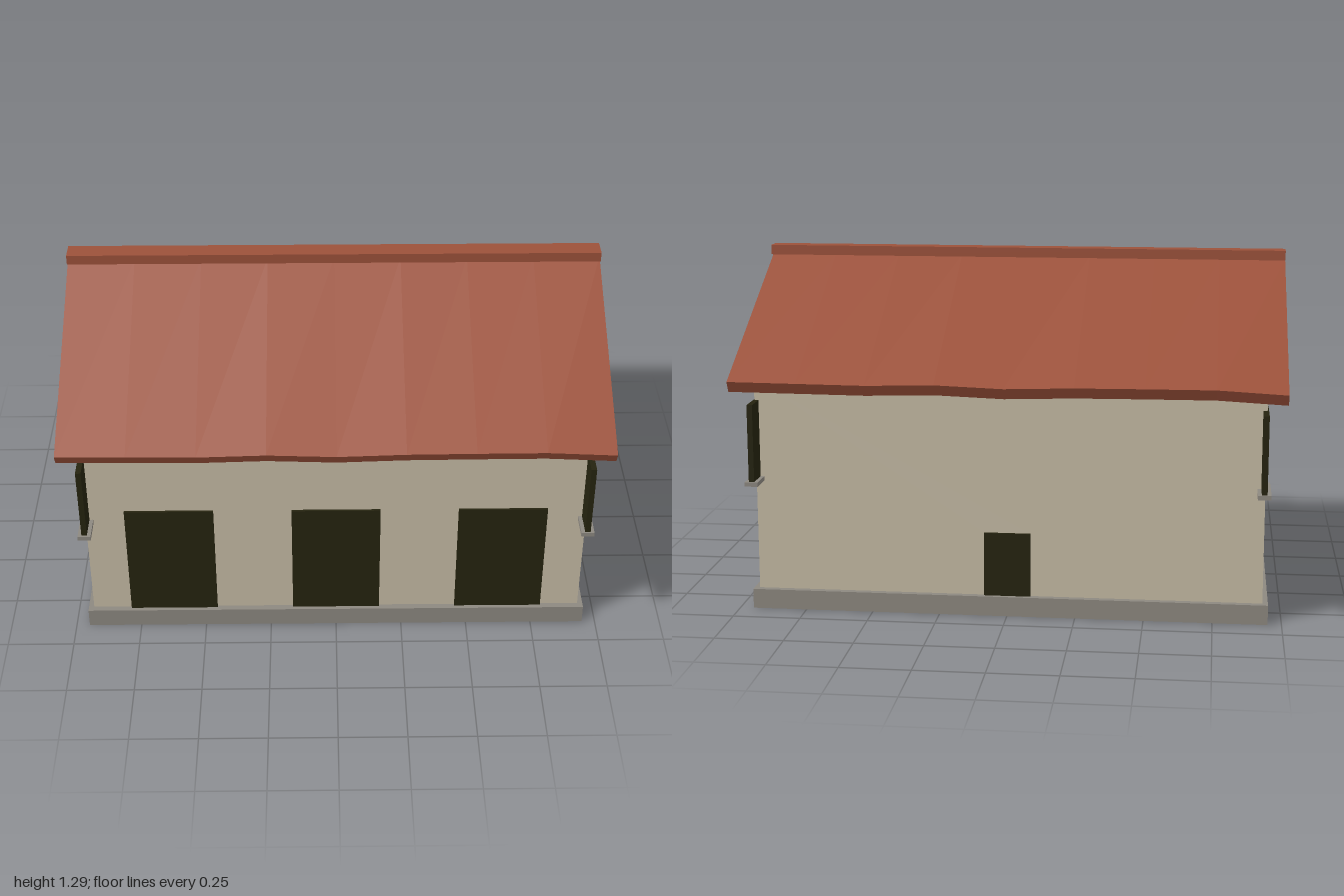
import * as THREE from 'three';

export function createModel() {
  const model = new THREE.Group();
  model.name = 'house';

  const material = (name, color, flatShading = false) => {
    const m = new THREE.MeshStandardMaterial({ color, flatShading });
    m.name = name;
    return m;
  };
  const plaster = material('plaster', 0xc6bba5);
  const stone = material('stone', 0x8d8880);
  const darkWood = material('dark wood', 0x25230f);
  const clay = material('clay tile', 0x9c513a, true);

  const add = (name, geometry, mat, x = 0, y = 0, z = 0, parent = model) => {
    const mesh = new THREE.Mesh(geometry, mat);
    mesh.name = name;
    mesh.position.set(x, y, z);
    parent.add(mesh);
    return mesh;
  };
  const box = (name, mat, w, h, d, x, y, z) =>
    add(name, new THREE.BoxGeometry(w, h, d), mat, x, y, z);

  const W = 0.93, D = 0.62, H = 0.87, T = 0.124, LIP = 0.02;

  // Long walls with door openings running down to the ground
  const longWall = (name, doors, z) => {
    const s = new THREE.Shape();
    s.moveTo(-W, 0);
    for (const { x, w, h } of doors) {
      s.lineTo(x - w / 2, 0);
      s.lineTo(x - w / 2, h);
      s.lineTo(x + w / 2, h);
      s.lineTo(x + w / 2, 0);
    }
    s.lineTo(W, 0);
    s.lineTo(W, H);
    s.lineTo(-W, H);
    const g = new THREE.ExtrudeGeometry(s, { depth: T, bevelEnabled: false });
    add(name, g, plaster, 0, 0, z);
  };
  const frontDoors = [-0.62, 0, 0.62].map((x) => ({ x, w: 0.33, h: 0.54 }));
  const backDoors = [{ x: 0, w: 0.17, h: 0.31 }];
  longWall('frontWall', frontDoors, D - T);
  longWall('backWall', backDoors, -D);

  // Door panels, just proud of the walls
  const door = (name, { x, w, h }, z) =>
    box(name, darkWood, w, h - 0.001, 0.018, x, h / 2 + 0.0005, z);
  frontDoors.forEach((d) => door('frontDoor', d, D));
  backDoors.forEach((d) => door('backDoor', d, -D));

  for (const side of [-1, 1]) {
    // Gable end walls, open above
    box('endWall', plaster, T, H, 2 * (D - T), side * (W - T / 2), H / 2, 0);
    // Shutters and sills straddling the corners
    for (const end of [-1, 1]) {
      box('shutter', darkWood, 0.02, 0.285, 0.186, side * 0.925, 0.6425, end * D);
      box('sill', stone, 0.048, 0.016, 0.2, side * 0.925, 0.492, end * D);
    }
  }

  // Plinth ring around the walls, and the raised floor
  const rect = (shape, x, z) =>
    shape.moveTo(-x, -z).lineTo(x, -z).lineTo(x, z).lineTo(-x, z).closePath();
  const ring = new THREE.Shape();
  rect(ring, W + LIP, D + LIP + 0.004);
  const hole = new THREE.Path();
  rect(hole, W, D);
  ring.holes.push(hole);
  const plinth = new THREE.ExtrudeGeometry(ring, { depth: 0.073, bevelEnabled: false });
  plinth.rotateX(-Math.PI / 2);
  add('plinth', plinth, stone);
  box('floor', stone, 2 * W - 0.02, 0.008, 2 * D - 0.04, 0, 0.069, 0);

  // Roof slopes: a slab from ridge to eave, with a slightly uneven eave
  const sag = [0, -0.002, -0.004, 0.003, -0.006, 0.002, 0.004, 0.005, -0.008];
  const slope = new THREE.BoxGeometry(2, 1, 1, 8, 1, 1);
  const p = slope.attributes.position;
  for (let i = 0; i < p.count; i++) {
    const u = p.getZ(i) + 0.5;
    const top = p.getY(i) > 0;
    const dip = sag[Math.round((p.getX(i) + 1) * 4)] * u;
    const y = top ? 1.255 + (0.872 - 1.255) * u : 1.207 + (0.832 - 1.207) * u;
    p.setXYZ(i, p.getX(i), y + dip, u * (top ? 0.733 : 0.712));
  }
  slope.computeVertexNormals();
  add('frontRoof', slope, clay);
  add('backRoof', slope, clay).rotation.y = Math.PI;
  box('ridgeCap', clay, 2, 0.037, 0.074, 0, 1.272, 0);

  return model;
}
